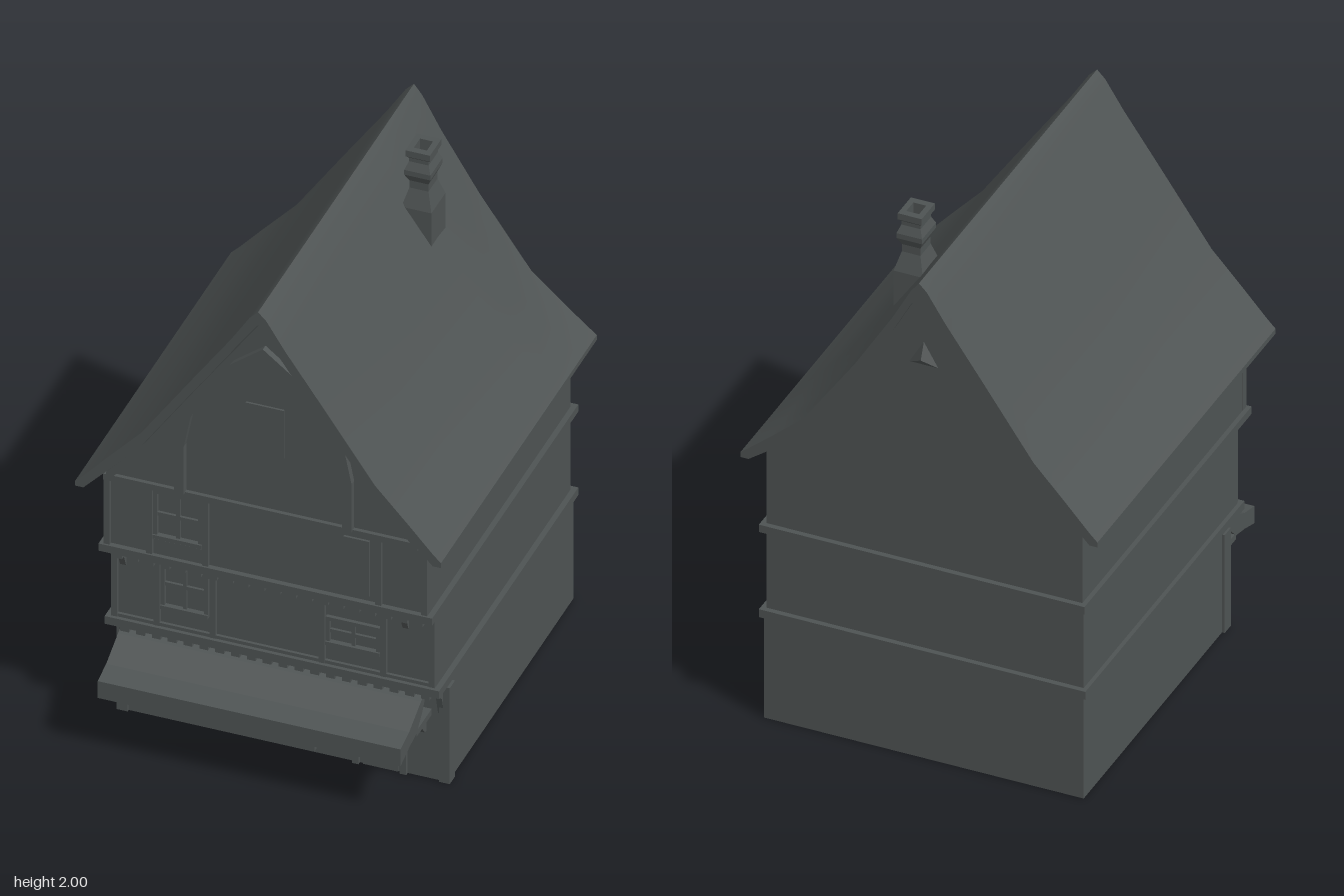
import * as THREE from 'three';
import { toCreasedNormals } from 'three/addons/utils/BufferGeometryUtils.js';

const slate = new THREE.MeshStandardMaterial({ color: 0x4e5353 });
slate.name = 'slateGrey';

const mesh = (name, geo, parent) => {
  const m = new THREE.Mesh(geo, slate);
  m.name = name;
  parent.add(m);
  return m;
};

// Box given by its extents on each axis
const box = (name, parent, x0, x1, y0, y1, z0, z1) => {
  const m = mesh(name, new THREE.BoxGeometry(x1 - x0, y1 - y0, z1 - z0), parent);
  m.position.set((x0 + x1) / 2, (y0 + y1) / 2, (z0 + z1) / 2);
  return m;
};

// Concave roof slope, sagging a little at the back of the left side
const slope = [[0, 1.965], [0.03, 1.935], [0.1, 1.825], [0.24, 1.625], [0.43, 1.35], [0.55, 1.22], [0.64, 1.12], [0.67, 1.09]];
const roofY = (x, z) => {
  const a = Math.abs(x);
  let k = 1;
  while (k < slope.length - 1 && slope[k][0] < a) k++;
  const [x0, y0] = slope[k - 1], [x1, y1] = slope[k];
  const sag = x > 0 ? 0.06 * Math.sin(Math.PI * Math.min(1, a / 0.66)) * THREE.MathUtils.smoothstep(-z, 0.38, 0.75) : 0;
  return y0 + (y1 - y0) * (a - x0) / (x1 - x0) - sag;
};

// Closed solid between two height functions over a grid of x and z
function loft(xs, zs, top, bottom) {
  const pos = [], n = xs.length - 1, m = zs.length - 1;
  const T = (i, j) => [xs[i], top(xs[i], zs[j]), zs[j]];
  const B = (i, j) => [xs[i], bottom(xs[i], zs[j]), zs[j]];
  const quad = (a, b, c, d) => pos.push(...a, ...b, ...c, ...a, ...c, ...d);
  for (let j = 0; j < m; j++) {
    for (let i = 0; i < n; i++) {
      quad(T(i, j), T(i, j + 1), T(i + 1, j + 1), T(i + 1, j));
      quad(B(i, j), B(i + 1, j), B(i + 1, j + 1), B(i, j + 1));
    }
    quad(B(0, j), B(0, j + 1), T(0, j + 1), T(0, j));
    quad(B(n, j), T(n, j), T(n, j + 1), B(n, j + 1));
  }
  for (let i = 0; i < n; i++) {
    quad(B(i, m), B(i + 1, m), T(i + 1, m), T(i, m));
    quad(B(i, 0), T(i, 0), T(i + 1, 0), B(i + 1, 0));
  }
  const g = new THREE.BufferGeometry();
  g.setAttribute('position', new THREE.Float32BufferAttribute(pos, 3));
  return toCreasedNormals(g, 0.45);
}

// Side profile in (z, y), extruded across x
function sideExtrude(points, x0, x1) {
  const s = new THREE.Shape(points.map(([z, y]) => new THREE.Vector2(-z, y)));
  const g = new THREE.ExtrudeGeometry(s, { depth: x1 - x0, bevelEnabled: false });
  return g.rotateY(Math.PI / 2).translate(x0, 0, 0);
}

// Framed window with a transom and mullion
function window_(parent, name, x0, x1, y0, y1, z, mullion = true) {
  const g = new THREE.Group();
  g.name = name;
  parent.add(g);
  const t = 0.015, d = z + 0.014;
  box('frameLeft', g, x0, x0 + t, y0, y1, z - 0.01, d);
  box('frameRight', g, x1 - t, x1, y0, y1, z - 0.01, d);
  box('frameTop', g, x0, x1, y1 - t, y1, z - 0.01, d);
  box('frameSill', g, x0, x1, y0, y0 + t, z - 0.01, d + 0.006);
  if (!mullion) return;
  const cx = (x0 + x1) / 2, cy = (y0 + y1) / 2;
  box('mullion', g, cx - 0.007, cx + 0.007, y0, y1, z - 0.01, z + 0.01);
  box('transom', g, x0, x1, cy - 0.007, cy + 0.007, z - 0.01, z + 0.01);
}

export function createModel() {
  const house = new THREE.Group();
  house.name = 'timberHouse';

  // Jettied storeys and the bands between them
  box('groundFloor', house, -0.6, 0.6, 0, 0.43, -0.71, 0.46);
  box('middleFloor', house, -0.6, 0.59, 0.42, 0.78, -0.71, 0.545);
  box('upperFloor', house, -0.595, 0.59, 0.77, 1.1, -0.71, 0.615);
  box('lowerBand', house, -0.615, 0.61, 0.42, 0.452, -0.73, 0.57);
  box('upperBand', house, -0.612, 0.61, 0.768, 0.798, -0.73, 0.635);
  for (let i = 0; i < 20; i++) {
    const x = -0.56 + i * 0.058;
    box('lowerJoistEnd', house, x, x + 0.032, 0.402, 0.425, 0.45, 0.565);
    box('upperJoistEnd', house, x, x + 0.032, 0.75, 0.772, 0.53, 0.63);
  }

  // Attic with gable walls, and roof
  const wallXs = [-0.59, -0.43, -0.24, -0.1, 0, 0.1, 0.24, 0.43, 0.59];
  mesh('attic', loft(wallXs, [-0.71, -0.6, -0.5, -0.38, 0.635], (x, z) => roofY(x, z) - 0.035, () => 1.08), house);
  const half = slope.slice(1).map(p => p[0]);
  const roofXs = [...half.map(x => -x).reverse(), 0, ...half];
  mesh('roof', loft(roofXs, [-0.75, -0.68, -0.6, -0.5, -0.38, 0.705], roofY,
    (x, z) => Math.max(roofY(x, z) - 0.055, 1.07)), house);

  // Gable timbers
  box('gableBeam', house, -0.59, 0.59, 1.08, 1.105, 0.6, 0.65);
  for (const s of [-1, 1]) {
    const c = [[0.3, 1.1], [0.3, 1.3], [0.27, 1.45], [0.18, 1.62], [0, 1.78]];
    const inner = [[0, 1.735], [0.155, 1.59], [0.24, 1.43], [0.265, 1.3], [0.265, 1.1]];
    const shape = new THREE.Shape([...c, ...inner].map(([x, y]) => new THREE.Vector2(s * (x + 0.025 * (y < 1.7)), y)));
    mesh('curvedBrace', new THREE.ExtrudeGeometry(shape, { depth: 0.04, bevelEnabled: false }), house).position.z = 0.62;
    // Board following the roof edge
    const edge = [[0, 1.9], [0.24, 1.56], [0.43, 1.285], [0.57, 1.13]];
    const board = new THREE.Shape([...edge, ...edge.map(([x, y]) => [x, y - 0.04]).reverse()]
      .map(([x, y]) => new THREE.Vector2(s * x, y)));
    mesh('bargeBoard', new THREE.ExtrudeGeometry(board, { depth: 0.04, bevelEnabled: false }), house).position.z = 0.63;
  }
  box('atticShutter', house, -0.07, 0.07, 1.33, 1.53, 0.63, 0.643);

  // Triangular vent on the back gable
  const vent = mesh('backVent', new THREE.ConeGeometry(0.075, 0.03, 3).toNonIndexed(), house);
  vent.geometry.computeVertexNormals();
  vent.rotation.set(-Math.PI / 2, 0, 0);
  vent.position.set(0, 1.64, -0.72);

  // Wall posts
  for (const x of [-0.585, -0.43, -0.225, 0.41, 0.578]) box('upperPost', house, x - 0.011, x + 0.011, 0.79, 1.09, 0.6, 0.628);
  for (const x of [-0.585, -0.43, -0.225, 0.175, 0.4, 0.578]) box('middlePost', house, x - 0.011, x + 0.011, 0.45, 0.77, 0.53, 0.558);
  box('middleSillBeam', house, -0.59, 0.58, 0.45, 0.465, 0.53, 0.556);

  // Windows
  window_(house, 'upperWindow', -0.415, -0.235, 0.87, 1.07, 0.615);
  box('upperWindowPanel', house, -0.415, -0.235, 0.8, 0.86, 0.61, 0.622);
  box('upperShutter', house, 0.28, 0.375, 0.82, 1.05, 0.61, 0.624);
  window_(house, 'middleWindowLeft', -0.415, -0.24, 0.53, 0.735, 0.545);
  window_(house, 'middleWindowRight', 0.19, 0.39, 0.535, 0.65, 0.545);

  // Brackets under the jetties and the awning
  const bracket = (name, x, y, z, h, d) => mesh(name, sideExtrude(
    [[z, y], [z + d, y], [z + d, y - h * 0.18], [z + d * 0.4, y - h * 0.45], [z + d * 0.15, y - h], [z, y - h]],
    x - 0.011, x + 0.011), house);
  for (const x of [-0.555, 0.48]) bracket('upperBracket', x, 0.755, 0.54, 0.085, 0.075);
  for (const x of [-0.585, 0.575]) bracket('cornerBracket', x, 0.42, 0.45, 0.14, 0.08);
  for (const x of [-0.54, 0.13, 0.51]) bracket('awningBracket', x, 0.285, 0.45, 0.09, 0.16);

  // Shop awning
  mesh('awning', sideExtrude([[0.75, 0.24], [0.75, 0.31], [0.67, 0.33], [0.56, 0.385], [0.52, 0.4], [0.46, 0.4],
    [0.46, 0.385], [0.52, 0.375], [0.55, 0.33], [0.6, 0.28], [0.67, 0.265]], -0.57, 0.54), house);
  box('awningRail', house, -0.57, 0.54, 0.265, 0.29, 0.45, 0.6);

  // Shop front and door
  for (const s of [-1, 1]) box('cornerStone', house, s * 0.59 - 0.02, s * 0.59 + 0.02, 0, 0.4, 0.42, 0.47);
  window_(house, 'shopWindow', -0.415, 0.105, 0.03, 0.25, 0.46, false);
  box('shopSill', house, -0.43, 0.12, 0.02, 0.04, 0.45, 0.485);
  for (const x of [0.265, 0.44]) box('doorPost', house, x - 0.012, x + 0.012, 0, 0.27, 0.45, 0.474);
  box('door', house, 0.29, 0.42, 0, 0.25, 0.45, 0.465);

  // Chimney: square stack lathed with four sides, hollow at the top
  const profile = [[0.055, 1.5], [0.055, 1.77], [0.035, 1.84], [0.035, 1.87], [0.048, 1.9], [0.048, 1.92],
    [0.036, 1.95], [0.036, 1.965], [0.045, 1.975], [0.045, 2], [0.024, 2], [0.024, 1.93], [0, 1.93]];
  const stack = new THREE.LatheGeometry(profile.map(([r, y]) => new THREE.Vector2(r * Math.SQRT2, y)), 4, Math.PI / 4);
  const chimney = mesh('chimney', toCreasedNormals(stack, 0.1), house);
  chimney.scale.z = 1.2;
  chimney.position.set(0.18, 0, -0.38);

  return house;
}
